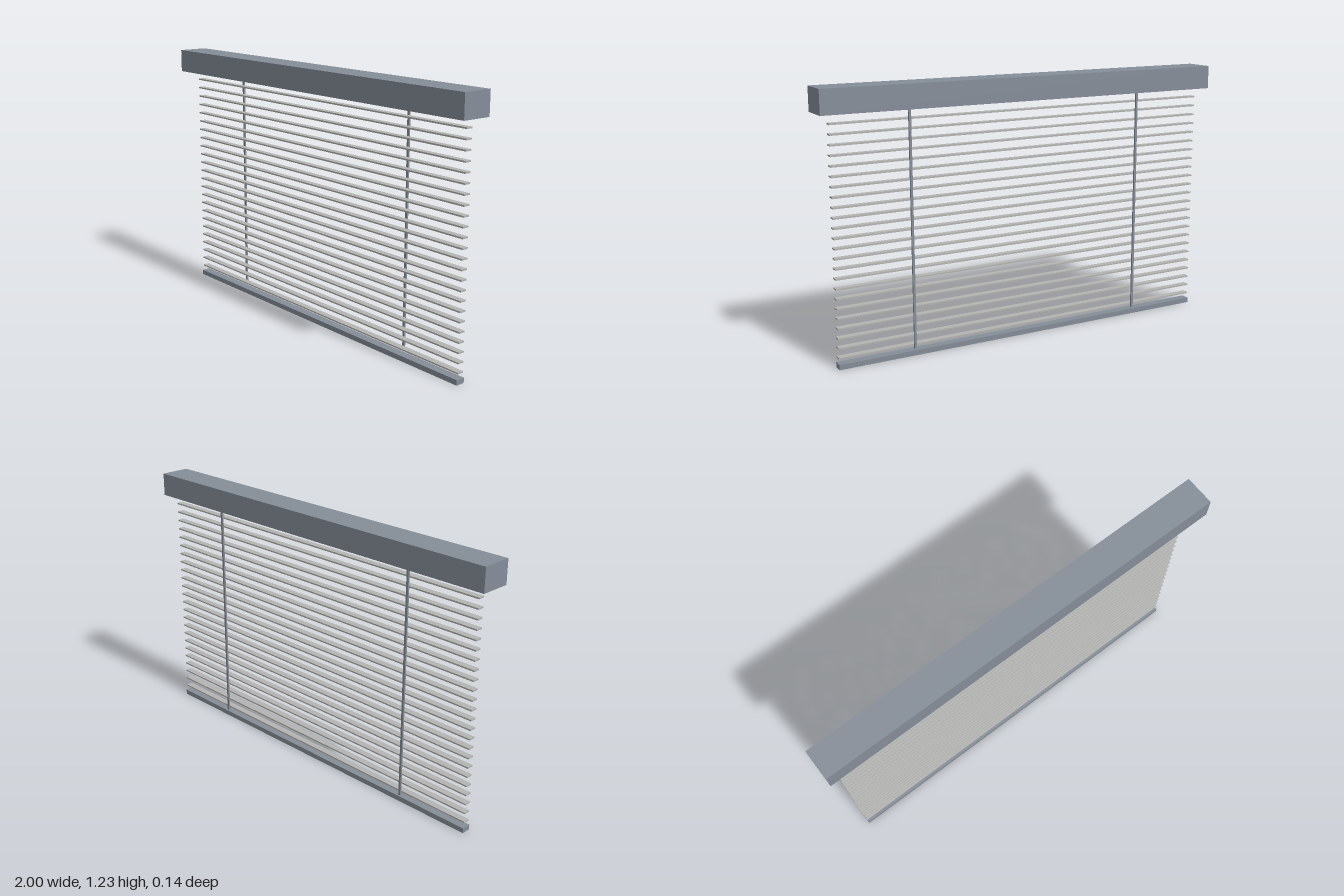
import * as THREE from 'three';

const railGrey = new THREE.MeshStandardMaterial({ color: 0x858d98 });
railGrey.name = 'railGrey';
const slatGrey = new THREE.MeshStandardMaterial({ color: 0xb4b4b2 });
slatGrey.name = 'slatGrey';

// Box given by its full size and centre
function addBox(parent, name, material, [w, h, d], [x, y, z]) {
  const mesh = new THREE.Mesh(new THREE.BoxGeometry(w, h, d), material);
  mesh.name = name;
  mesh.position.set(x, y, z);
  parent.add(mesh);
}

export function createModel() {
  const blind = new THREE.Group();
  blind.name = 'windowBlind';

  // Head box and bottom bar
  addBox(blind, 'headRail', railGrey, [2, 0.11, 0.144], [0, 1.175, 0]);
  addBox(blind, 'bottomRail', railGrey, [1.902, 0.024, 0.043], [0, 0.012, -0.015]);

  // Evenly spaced horizontal slats
  const slats = new THREE.Group();
  slats.name = 'slats';
  const count = 24, lowest = 0.051, spacing = 0.0446;
  for (let i = 0; i < count; i++) {
    addBox(slats, 'slat', slatGrey, [1.9, 0.007, 0.031], [0, lowest + i * spacing, -0.0155]);
  }
  blind.add(slats);

  // Cords hanging behind the slats
  for (const side of [-1, 1]) {
    addBox(blind, side > 0 ? 'leftCord' : 'rightCord', railGrey,
      [0.011, 1.087, 0.008], [side * 0.592, 0.5775, -0.0365]);
  }
  return blind;
}
